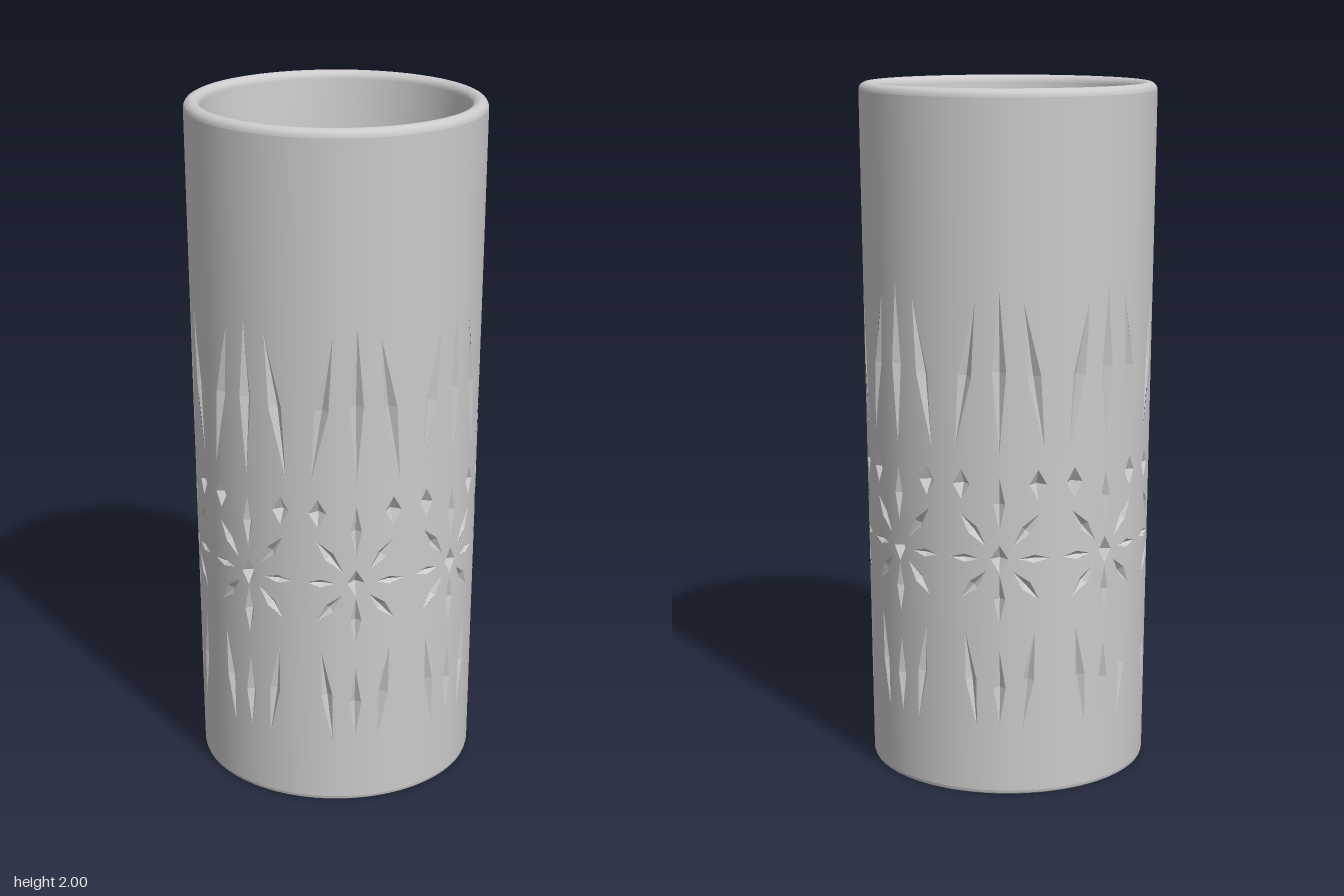
import * as THREE from 'three';
import { toCreasedNormals } from 'three/addons/utils/BufferGeometryUtils.js';

const REPEATS = 8;
const MEAN_R = 0.4125; // radius used to unroll the wall
const HALF = (MEAN_R * Math.PI) / REPEATS; // half width of one unrolled sector
const Y0 = 0.012, Y1 = 1.977;
const MAX_STEP = 0.042; // widest flat piece around the curve
const outerR = (y) => 0.405 + 0.011 * y;
const innerR = (y) => 0.38 - 0.0115 * (2 - y);

// Wrap an unrolled point (u around, v up) onto the tapered wall
const wrap = (u, v, depth = 0) => {
  const r = outerR(v) - depth, a = u / MEAN_R;
  return [Math.sin(a) * r, v, Math.cos(a) * r];
};

// Cuts of one sector: both tips (u, v) and the half width
function cutList() {
  const cuts = [
    [0, 0.66, 0, 0.74, 0.025], // star centre
    [0, 0.78, 0, 0.935, 0.016], // star, up
    [0, 0.51, 0, 0.66 - 0.005, 0.016], // star, down
    [0, 1.0, 0, 1.46, 0.019], // tall spike
    [0, 0.21, 0, 0.43, 0.017], // short spike
  ];
  for (const s of [-1, 1]) {
    cuts.push(
      [s * 0.055, 0.7, s * 0.143, 0.7, 0.012], // star, sideways
      [s * 0.037, 0.735, s * 0.113, 0.83, 0.015], // star, diagonal up
      [s * 0.037, 0.665, s * 0.113, 0.58, 0.015], // star, diagonal down
      [s * 0.108, 0.87, s * 0.108, 0.955, 0.025], // lozenge
      [s * 0.126, 1.01, s * 0.066, 1.425, 0.019], // leaning tall spike
      [s * 0.066, 0.2, s * 0.1, 0.487, 0.016], // leaning short spike
    );
  }
  return cuts;
}

// Four corners of a cut, anticlockwise
function corners([u1, v1, u2, v2, w]) {
  const len = Math.hypot(u2 - u1, v2 - v1);
  const pu = ((v2 - v1) / len) * w, pv = (-(u2 - u1) / len) * w;
  const mu = (u1 + u2) / 2, mv = (v1 + v2) / 2;
  return [[u1, v1], [mu + pu, mv + pv], [u2, v2], [mu - pu, mv - pv]]
    .map(([u, v]) => new THREE.Vector2(u, v));
}

// Split a triangle until no edge is too long around the curve
function split(tri, out) {
  let longest = -1, size = MAX_STEP;
  for (let i = 0; i < 3; i++) {
    const d = Math.abs(tri[i].x - tri[(i + 1) % 3].x);
    if (d > size) { size = d; longest = i; }
  }
  if (longest < 0) { out.push(...tri); return; }
  const a = tri[longest], b = tri[(longest + 1) % 3], c = tri[(longest + 2) % 3];
  const m = a.clone().add(b).multiplyScalar(0.5);
  split([a, m, c], out);
  split([m, b, c], out);
}

// Smooth wall of one sector, pierced where the cuts are
function wallGeometry(cuts) {
  const shape = new THREE.Shape([
    new THREE.Vector2(-HALF, Y0), new THREE.Vector2(HALF, Y0),
    new THREE.Vector2(HALF, Y1), new THREE.Vector2(-HALF, Y1),
  ]);
  for (const c of cuts) shape.holes.push(new THREE.Path(corners(c)));
  const flat = new THREE.ShapeGeometry(shape).toNonIndexed().attributes.position;
  const points = [];
  for (let i = 0; i < flat.count; i += 3) {
    split([0, 1, 2].map((k) => new THREE.Vector2(flat.getX(i + k), flat.getY(i + k))), points);
  }
  const pos = [], nor = [];
  for (const p of points) {
    const a = p.x / MEAN_R;
    pos.push(...wrap(p.x, p.y));
    nor.push(Math.sin(a), -0.011, Math.cos(a));
  }
  const g = new THREE.BufferGeometry();
  g.setAttribute('position', new THREE.Float32BufferAttribute(pos, 3));
  g.setAttribute('normal', new THREE.Float32BufferAttribute(nor, 3));
  return g;
}

// Sunken four-sided facets that fill the cuts
function facetGeometry(cuts) {
  const pos = [];
  for (const c of cuts) {
    const p = corners(c);
    const apex = wrap((c[0] + c[2]) / 2, (c[1] + c[3]) / 2, c[4]);
    for (let i = 0; i < 4; i++) {
      const q = p[(i + 1) % 4];
      pos.push(...wrap(p[i].x, p[i].y), ...wrap(q.x, q.y), ...apex);
    }
  }
  const g = new THREE.BufferGeometry();
  g.setAttribute('position', new THREE.Float32BufferAttribute(pos, 3));
  g.computeVertexNormals();
  return g;
}

function lathe(profile) {
  const pts = profile.map(([x, y]) => new THREE.Vector2(x, y));
  return toCreasedNormals(new THREE.LatheGeometry(pts, 64), 0.6);
}

export function createModel() {
  const model = new THREE.Group();
  model.name = 'tumbler';
  const glass = new THREE.MeshStandardMaterial({ color: 0xcccccc });
  const amber = new THREE.MeshStandardMaterial({ color: 0xc8752e });
  const add = (parent, name, geometry, material) => {
    const mesh = new THREE.Mesh(geometry, material);
    mesh.name = name;
    parent.add(mesh);
    return mesh;
  };

  // Carved outer wall, one sector repeated around
  const cuts = cutList();
  const wall = wallGeometry(cuts), facets = facetGeometry(cuts);
  for (let i = 0; i < REPEATS; i++) {
    const sector = new THREE.Group();
    sector.name = 'carvedSector';
    sector.rotation.y = (i * 2 * Math.PI) / REPEATS;
    add(sector, 'wall', wall, glass);
    add(sector, 'cutFacets', facets, glass);
    model.add(sector);
  }

  // Base with a small bevel
  add(model, 'base', lathe([[0, 0], [0.398, 0], [0.403, 0.004], [outerR(Y0), Y0]]), glass);

  // Rounded rim running down into the inner wall and floor
  const inside = [];
  const rOut = outerR(Y1), rIn = innerR(Y1);
  for (let i = 0; i <= 10; i++) {
    const a = (i / 10) * Math.PI;
    inside.push([(rOut + rIn) / 2 + (Math.cos(a) * (rOut - rIn)) / 2, Y1 + Math.sin(a) * (2 - Y1)]);
  }
  inside.push([innerR(0.14), 0.14], [innerR(0.14) - 0.02, 0.12], [0, 0.12]);
  add(model, 'rimAndInside', lathe(inside), glass);

  // Drink, resting just inside the wall
  const top = 0.95, bottom = 0.145;
  const drink = new THREE.CylinderGeometry(innerR(top) - 0.001, innerR(bottom) - 0.001, top - bottom, 64);
  add(model, 'drink', drink, amber).position.y = (top + bottom) / 2;

  return model;
}
